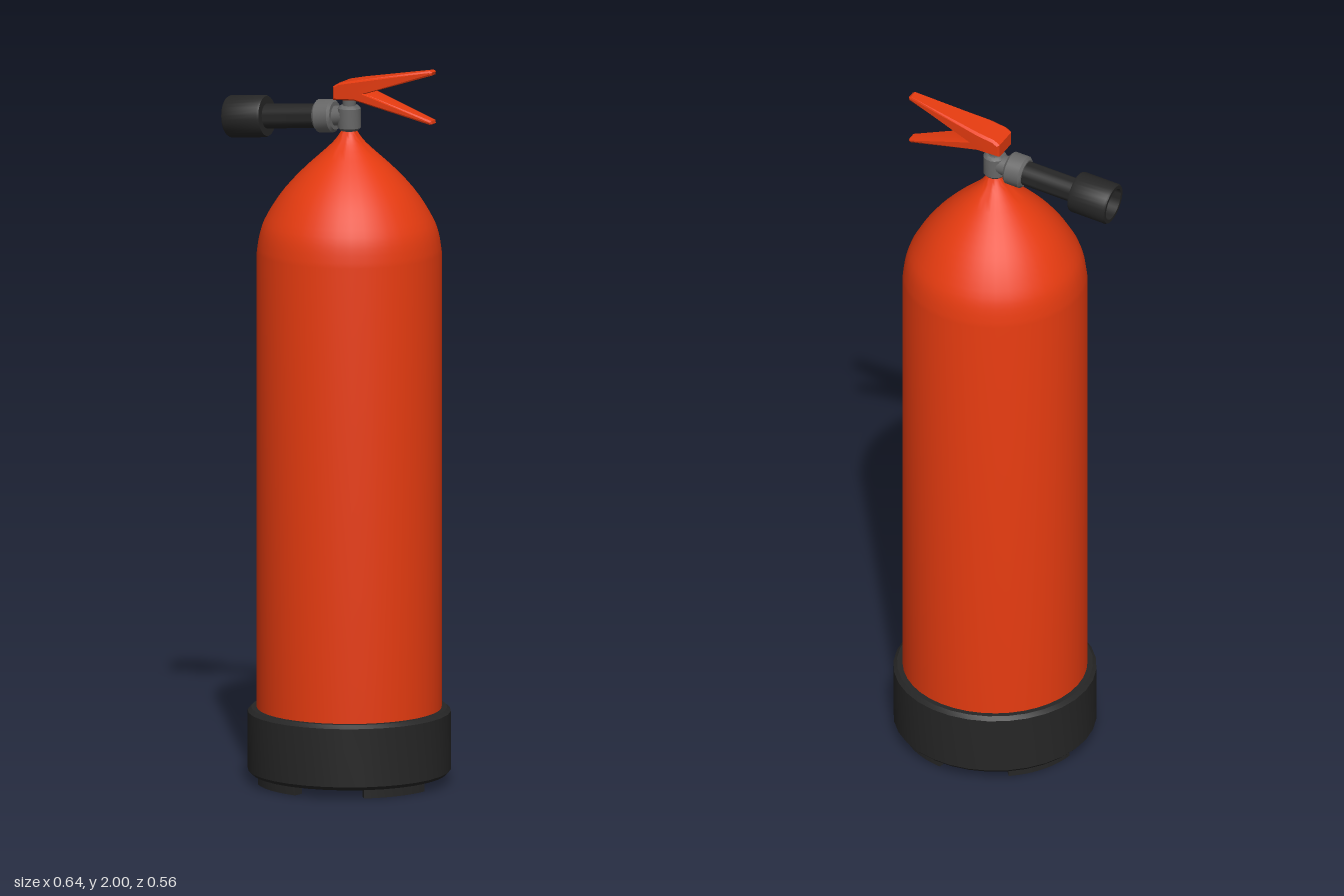
import * as THREE from 'three';
import { toCreasedNormals } from 'three/addons/utils/BufferGeometryUtils.js';

const mat = (name, color, extra = {}) => new THREE.MeshStandardMaterial({ name, color, ...extra });
const V = (a) => a.map(([x, y]) => new THREE.Vector2(x, y));

export function createModel() {
  const red = mat('red paint', 0xe63b10);
  const black = mat('black rubber', 0x262626);
  const grey = mat('grey metal', 0x666666);
  const root = new THREE.Group();
  root.name = 'fireExtinguisher';

  const add = (parent, name, geometry, material) => {
    const mesh = new THREE.Mesh(geometry, material);
    mesh.name = name;
    parent.add(mesh);
    return mesh;
  };
  // Turned part from [radius, height] points, bottom to top
  const turned = (points, segments = 32) =>
    toCreasedNormals(new THREE.LatheGeometry(V(points), segments), 0.6);
  // Turned collar with bevelled rims
  const collar = (r, y0, y1, b, segments = 32) =>
    turned([[0, y0], [r - b, y0], [r, y0 + b], [r, y1 - b], [r - b, y1], [0, y1]], segments);

  // Everything turned about the tank axis
  const tank = new THREE.Group();
  tank.name = 'tank';
  tank.position.x = 0.042;
  root.add(tank);

  // Cylinder with pointed dome
  const dome = new THREE.SplineCurve(V([[0.253, 1.475], [0.245, 1.525], [0.228, 1.57], [0.185, 1.638],
    [0.127, 1.703], [0.056, 1.768], [0.032, 1.795], [0.018, 1.818]])).getPoints(20);
  add(tank, 'tankBody', turned([[0.253, 0.1], ...dome.map((p) => [p.x, p.y]), [0, 1.82]], 40), red);

  // Rubber boot and its four curved feet
  add(tank, 'baseRing', collar(0.278, 0.026, 0.208, 0.01), black);
  const rad = THREE.MathUtils.degToRad;
  for (let i = 0; i < 4; i++) {
    const a0 = rad(-55 + i * 90), a1 = rad(-10 + i * 90);
    const arc = new THREE.Shape();
    arc.absarc(0, 0, 0.253, a0, a1, false);
    arc.absarc(0, 0, 0.222, a1, a0, true);
    const foot = new THREE.ExtrudeGeometry(arc, { depth: 0.035, bevelEnabled: false, curveSegments: 6 });
    foot.rotateX(-Math.PI / 2);
    add(tank, 'foot', toCreasedNormals(foot, 0.6), black);
  }

  // Valve between dome and levers
  add(tank, 'valveBody', collar(0.032, 1.812, 1.882, 0.008, 16), grey);
  add(tank, 'valveStem', new THREE.CylinderGeometry(0.018, 0.018, 0.06, 16).translate(0, 1.89, 0), grey);

  // Slightly drooping outlet, built along its own axis
  const outlet = new THREE.Group();
  outlet.name = 'outlet';
  outlet.position.set(0.04, 1.853, 0);
  outlet.rotation.z = Math.PI / 2 + 0.09;
  root.add(outlet);
  add(outlet, 'outletNeck', collar(0.028, 0, 0.05, 0.004, 16), grey);
  add(outlet, 'outletNut', collar(0.046, 0.04, 0.095, 0.007, 24), grey);
  add(outlet, 'hose', collar(0.034, 0.09, 0.26, 0.003, 24), black);
  add(outlet, 'nozzle', turned([[0, 0.248], [0.055, 0.248], [0.058, 0.254], [0.058, 0.356], [0.055, 0.361],
    [0.045, 0.361], [0.045, 0.28], [0, 0.28]]), black);

  // Forked squeeze levers: side profile, narrowed towards the tips
  const fork = new THREE.Shape(V([[0.01, 1.9], [0.075, 1.903], [0.292, 1.85], [0.299, 1.852], [0.297, 1.861],
    [0.105, 1.924], [0.297, 1.987], [0.299, 1.996], [0.292, 2.0], [0.075, 1.959],
    [0.028, 1.949], [0.01, 1.938]]));
  const lever = new THREE.ExtrudeGeometry(fork,
    { depth: 0.07, bevelThickness: 0.008, bevelSize: 0.005, bevelOffset: -0.005, bevelSegments: 1 });
  lever.translate(0, 0, -0.035);
  const pos = lever.attributes.position;
  for (let i = 0; i < pos.count; i++) {
    const t = THREE.MathUtils.clamp((pos.getX(i) - 0.085) / 0.215, 0, 1);
    pos.setZ(i, pos.getZ(i) * (1 - 0.65 * t));
  }
  lever.computeVertexNormals();
  add(root, 'squeezeLevers', toCreasedNormals(lever, 0.4), red);

  return root;
}
